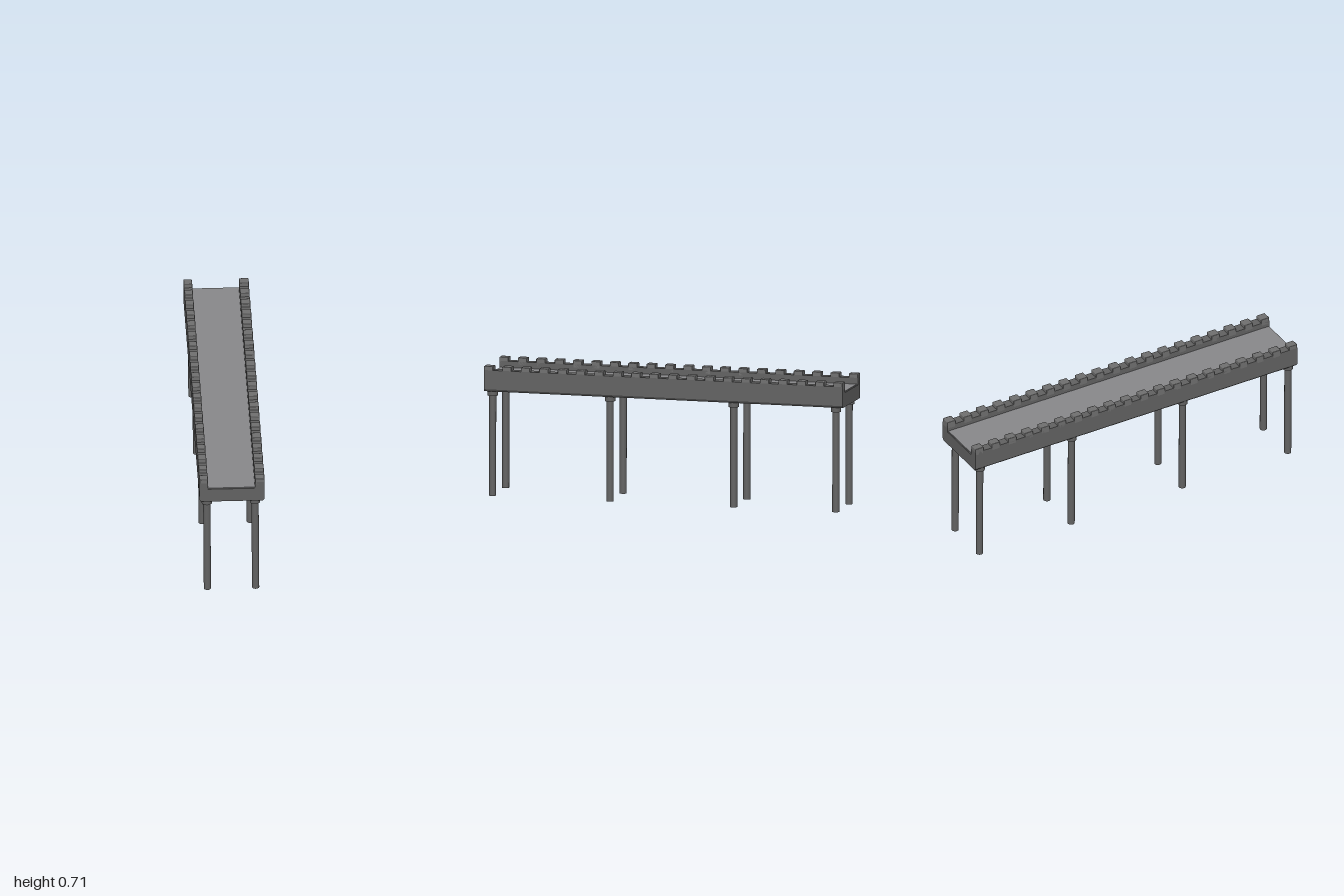
import * as THREE from 'three';
import { RoundedBoxGeometry } from 'three/addons/geometries/RoundedBoxGeometry.js';

const floorGrey = new THREE.MeshStandardMaterial({ color: 0x88888a });
const wallGrey = new THREE.MeshStandardMaterial({ color: 0x626262 });
const blockGrey = new THREE.MeshStandardMaterial({ color: 0x707070 });
const postGrey = new THREE.MeshStandardMaterial({ color: 0x626262 });

function add(parent, name, geometry, material, x, y, z) {
  const mesh = new THREE.Mesh(geometry, material);
  mesh.name = name;
  mesh.position.set(x, y, z);
  parent.add(mesh);
}

export function createModel() {
  const model = new THREE.Group();
  model.name = 'pierBridge';

  const length = 2, outer = 0.175, innerLeft = 0.123, innerRight = -0.129;
  const bottom = 0.573, floor = 0.655, parapet = 0.689, top = 0.711;

  // Deck and parapets: one U-shaped section with chamfered lower edges
  const bed = floor - 0.004;
  const section = new THREE.Shape([
    [-outer + 0.008, bottom], [outer - 0.008, bottom], [outer, bottom + 0.012],
    [outer, parapet], [innerLeft, parapet], [innerLeft, bed],
    [innerRight, bed], [innerRight, parapet], [-outer, parapet], [-outer, bottom + 0.012],
  ].map(([x, y]) => new THREE.Vector2(x, y)));
  const deck = new THREE.ExtrudeGeometry(section, { depth: length, bevelEnabled: false });
  add(model, 'deck', deck, wallGrey, 0, 0, -length / 2);

  // Walkway plate between the parapets, stopping just short of the ends
  const walkway = new THREE.BoxGeometry(innerLeft - innerRight, 0.01, length - 0.012);
  add(model, 'walkway', walkway, floorGrey, (innerLeft + innerRight) / 2, floor - 0.005, 0);

  // Battlement blocks along both parapets
  const count = 20, blockLength = 0.051;
  const blockHeight = top - parapet + 0.02;
  const pitch = (length - blockLength) / (count - 1);
  for (const [name, x0, x1] of [
    ['leftBattlements', innerLeft, outer],
    ['rightBattlements', -outer, innerRight],
  ]) {
    const row = new THREE.Group();
    row.name = name;
    const block = new RoundedBoxGeometry(x1 - x0, blockHeight, blockLength, 1, 0.004);
    for (let i = 0; i < count; i++) {
      const z = length / 2 - blockLength / 2 - i * pitch;
      add(row, 'battlementBlock', block, blockGrey, (x0 + x1) / 2, top - blockHeight / 2, z);
    }
    model.add(row);
  }

  // Four pairs of round posts, leaning very slightly, with collars under the deck
  const collarBase = 0.545, postHeight = collarBase + 0.01;
  const collarHeight = bottom - collarBase + 0.005;
  const post = new THREE.CylinderGeometry(0.0195, 0.0195, postHeight, 20);
  const collar = new THREE.CylinderGeometry(0.028, 0.028, collarHeight, 20);
  for (const z of [0.965, 0.31, -0.38, -0.95]) {
    for (const x of [-0.131, 0.128]) {
      const leg = new THREE.Group();
      leg.name = 'supportPost';
      leg.position.set(x, 0, z);
      leg.rotation.z = 0.006;
      add(leg, 'post', post, postGrey, 0, postHeight / 2, 0);
      add(leg, 'collar', collar, postGrey, 0, collarBase + collarHeight / 2, 0);
      model.add(leg);
    }
  }
  return model;
}
